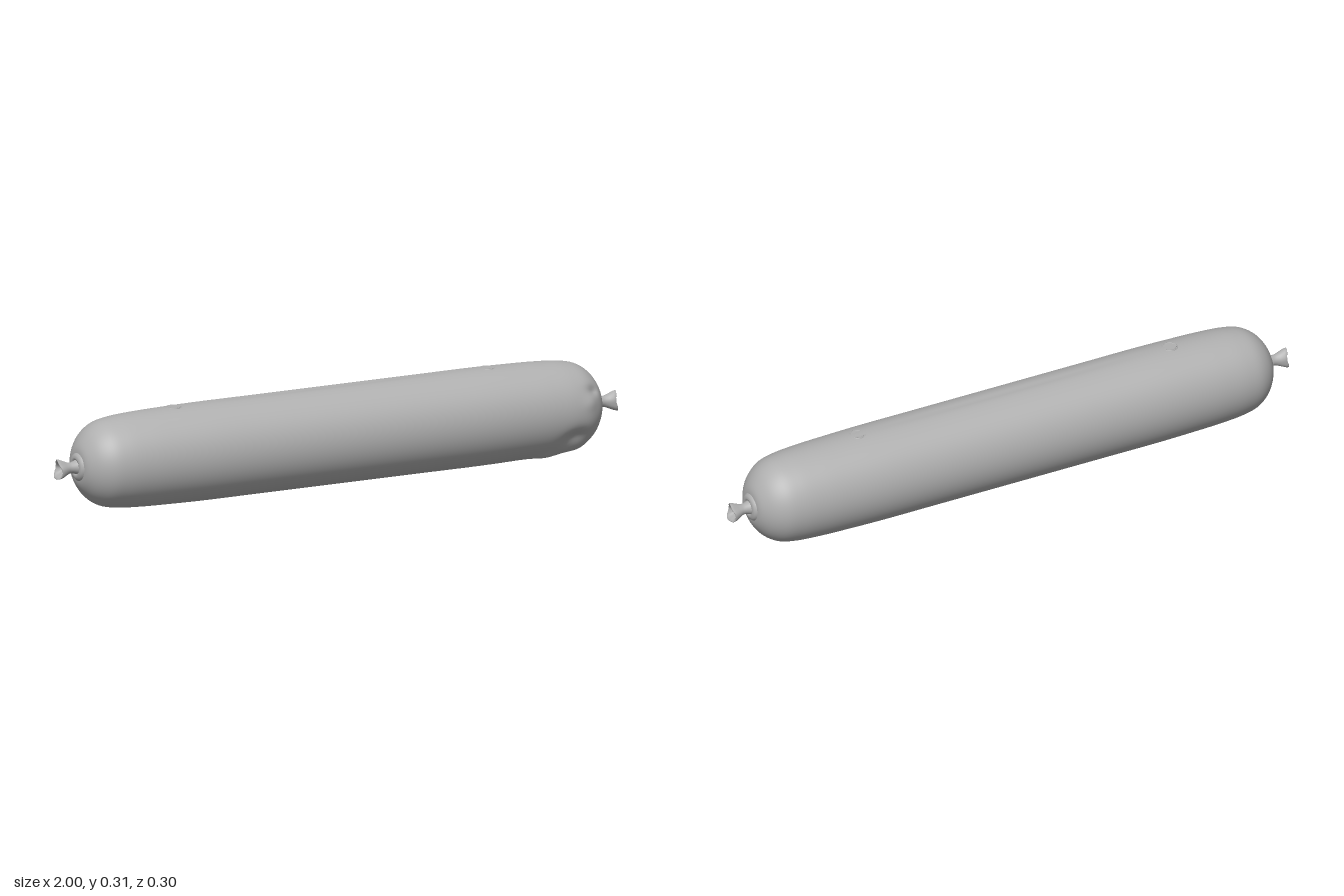
import * as THREE from 'three';
import { mergeVertices } from 'three/addons/utils/BufferGeometryUtils.js';

const CENTER_Y = 0.158;

// Smooth lathe lying along x, from [x, radius] pairs in ascending x, with a rule moving each vertex
function latheAlongX(profile, segments, rule) {
  const points = profile.map(([x, r]) => new THREE.Vector2(r, x));
  let geo = new THREE.LatheGeometry(points, segments);
  geo.rotateZ(-Math.PI / 2);
  geo.deleteAttribute('uv');
  geo.deleteAttribute('normal');
  geo = mergeVertices(geo, 1e-5);
  const p = geo.attributes.position;
  const v = new THREE.Vector3();
  for (let i = 0; i < p.count; i++) {
    rule(v.fromBufferAttribute(p, i));
    p.setXYZ(i, v.x, v.y, v.z);
  }
  geo.computeVertexNormals();
  return geo;
}

// Dents (negative depth) and bulges: [x, y, z, spread x, spread around, depth], relative to the axis
const DENTS = [
  [0.80, -0.09, 0.12, 0.045, 0.035, -0.018],
  [0.72, -0.135, 0.06, 0.05, 0.022, 0.008],
  [0.86, 0.065, 0.10, 0.035, 0.014, -0.012],
  [0.85, 0.03, 0.13, 0.03, 0.02, 0.004],
  [0.83, -0.13, 0.06, 0.04, 0.03, 0.004],
];

function shapeBody(v) {
  // Slightly narrower front to back
  v.z *= 0.95;
  const r = Math.hypot(v.y, v.z);
  if (r < 1e-4) return;
  let push = 0;
  for (const [x, y, z, sx, sr, depth] of DENTS) {
    const a = (v.x - x) / sx;
    const b = Math.hypot(v.y - y, v.z - z) / sr;
    push += depth * Math.exp(-a * a - b * b);
  }
  // Faint crease along the top
  if (v.y > 0 && Math.abs(v.x) < 0.55) {
    push -= 0.0025 * Math.exp(-((v.z / 0.012) ** 2)) * Math.cos(v.x / 0.55 * Math.PI / 2);
  }
  const k = 1 + push / r;
  v.y *= k;
  v.z *= k;
}

export function createModel() {
  const group = new THREE.Group();
  const casing = new THREE.MeshStandardMaterial({ color: 0xb0b0b0, side: THREE.DoubleSide });
  casing.name = 'casing grey';

  const add = (name, geo, parent = group) => {
    const mesh = new THREE.Mesh(geo, casing);
    mesh.name = name;
    parent.add(mesh);
    return mesh;
  };

  // Long casing with rounded ends
  const half = [
    [0, 0.156], [0.3, 0.156], [0.5, 0.156], [0.62, 0.154], [0.72, 0.151], [0.80, 0.145],
    [0.85, 0.134], [0.885, 0.112], [0.908, 0.085], [0.922, 0.058], [0.925, 0.035], [0.925, 0],
  ];
  const curve = new THREE.CatmullRomCurve3(
    [...half.slice(1).reverse().map(([x, r]) => [-x, r]), ...half]
      .map(([x, r]) => new THREE.Vector3(x, r, 0)), false, 'centripetal');
  const outline = curve.getSpacedPoints(200).map((p) => [p.x, Math.max(0, p.y)]);
  add('body', latheAlongX(outline, 96, shapeBody)).position.y = CENTER_Y;

  // Puckered collar and flared, crumpled knot at both ends
  for (const side of [1, -1]) {
    const end = new THREE.Group();
    end.name = side > 0 ? 'leftEnd' : 'rightEnd';
    end.position.y = CENTER_Y - 0.002;
    if (side < 0) end.rotation.y = Math.PI;
    group.add(end);

    add('collar', latheAlongX(
      [[0.915, 0.046], [0.924, 0.045], [0.931, 0.039], [0.934, 0.03], [0.932, 0.024], [0.928, 0.02]],
      40, () => {}), end);

    add('knot', latheAlongX(
      [[0.92, 0.026], [0.935, 0.021], [0.948, 0.017], [0.96, 0.018], [0.975, 0.023], [0.99, 0.028],
        [0.999, 0.029], [1.0, 0.027], [0.996, 0.022], [0.985, 0.016], [0.972, 0.008], [0.968, 0]],
      40, (v) => {
        const t = Math.max(0, (v.x - 0.945) / 0.055);
        const a = Math.atan2(v.z, v.y);
        const k = 1 + t * (0.1 * Math.cos(2 * a) + 0.07 * Math.sin(3 * a + 1) + 0.04 * Math.cos(5 * a));
        v.y = v.y * k - 0.003 * t;
        v.z *= k;
        if (v.x > 0.97) v.x -= 0.005 * t * (1 - Math.cos(2 * a + 0.6));
      }), end);
  }

  // Two small round marks on the top
  for (const x of [-0.58, 0.54]) {
    const mark = add('topMark', new THREE.TorusGeometry(0.024, 0.0022, 8, 32));
    mark.rotation.x = Math.PI / 2;
    mark.position.set(x, CENTER_Y + 0.153, 0);
    const plug = add('topPlug', new THREE.CylinderGeometry(0.021, 0.022, 0.006, 32));
    plug.position.set(x, CENTER_Y + 0.152, 0);
  }
  return group;
}
